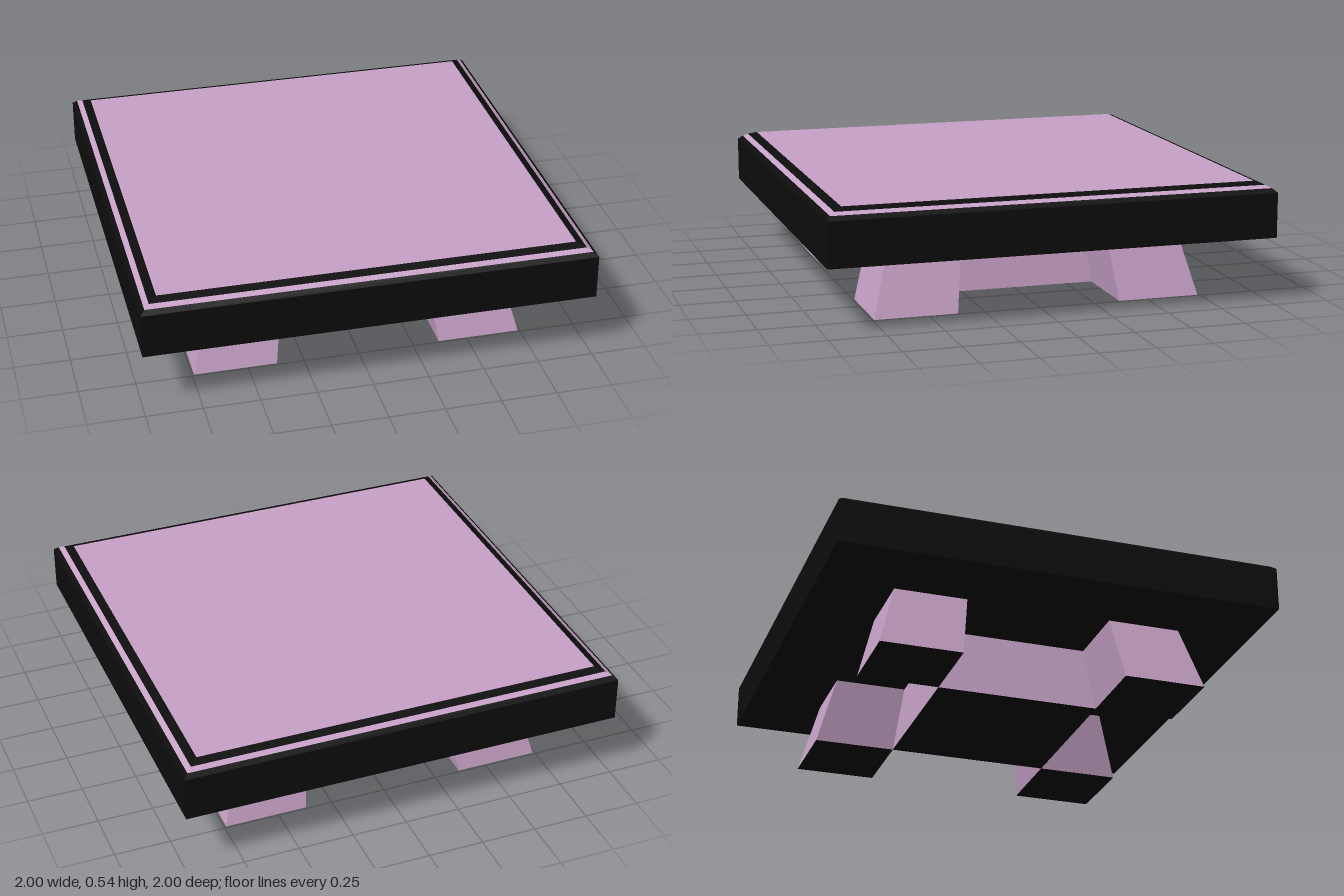
import * as THREE from 'three';

export function createModel() {
  const model = new THREE.Group();
  const lilac = new THREE.MeshStandardMaterial({ color: 0xc8a2c8 });
  lilac.name = 'lilac';
  const black = new THREE.MeshStandardMaterial({ color: 0x0d0d0d });
  black.name = 'black';

  const add = (name, geometry, material) => {
    const mesh = new THREE.Mesh(geometry, material);
    mesh.name = name;
    model.add(mesh);
  };

  // Four flat sides between two squares, given by half width and height
  const squareBand = (name, [r0, y0], [r1, y1], material) => {
    const g = new THREE.CylinderGeometry(r1 * Math.SQRT2, r0 * Math.SQRT2, y1 - y0, 4, 1, true)
      .rotateY(Math.PI / 4)
      .translate(0, (y0 + y1) / 2, 0)
      .toNonIndexed();
    g.computeVertexNormals();
    add(name, g, material);
  };

  const squareFace = (name, r, y, up, material) => {
    const g = new THREE.PlaneGeometry(2 * r, 2 * r).rotateX(up ? -Math.PI / 2 : Math.PI / 2);
    add(name, g.translate(0, y, 0), material);
  };

  // Slab with a stepped bevel and a coloured trim line
  const profile = [[1, 0.3], [1, 0.5], [0.98, 0.518], [0.957, 0.53], [0.92, 0.543]];
  const bands = [['slabSide', black], ['lowerBevel', black], ['trimLine', lilac], ['topBorder', black]];
  bands.forEach(([name, material], i) => squareBand(name, profile[i], profile[i + 1], material));
  squareFace('topPanel', 0.92, 0.543, true, lilac);
  squareFace('slabUnderside', 1, 0.3, false, black);

  // Supports narrow towards the model's central axis as they rise; soles are black
  const height = 0.3;
  const support = (name, width, x, z) => {
    const g = new THREE.BoxGeometry(width, height, width).translate(x, height / 2, z);
    const p = g.attributes.position;
    for (let i = 0; i < p.count; i++) {
      const k = 1 - 0.108 * p.getY(i) / height;
      p.setX(i, p.getX(i) * k);
      p.setZ(i, p.getZ(i) * k);
    }
    g.computeVertexNormals();
    add(name, g, [lilac, lilac, lilac, black, lilac, lilac]);
  };
  support('centreBlock', 0.742, 0, 0);
  for (const sx of [-1, 1]) {
    for (const sz of [-1, 1]) {
      const name = (sz > 0 ? 'front' : 'back') + (sx > 0 ? 'Left' : 'Right') + 'Leg';
      support(name, 0.371, sx * 0.556, sz * 0.556);
    }
  }

  return model;
}
